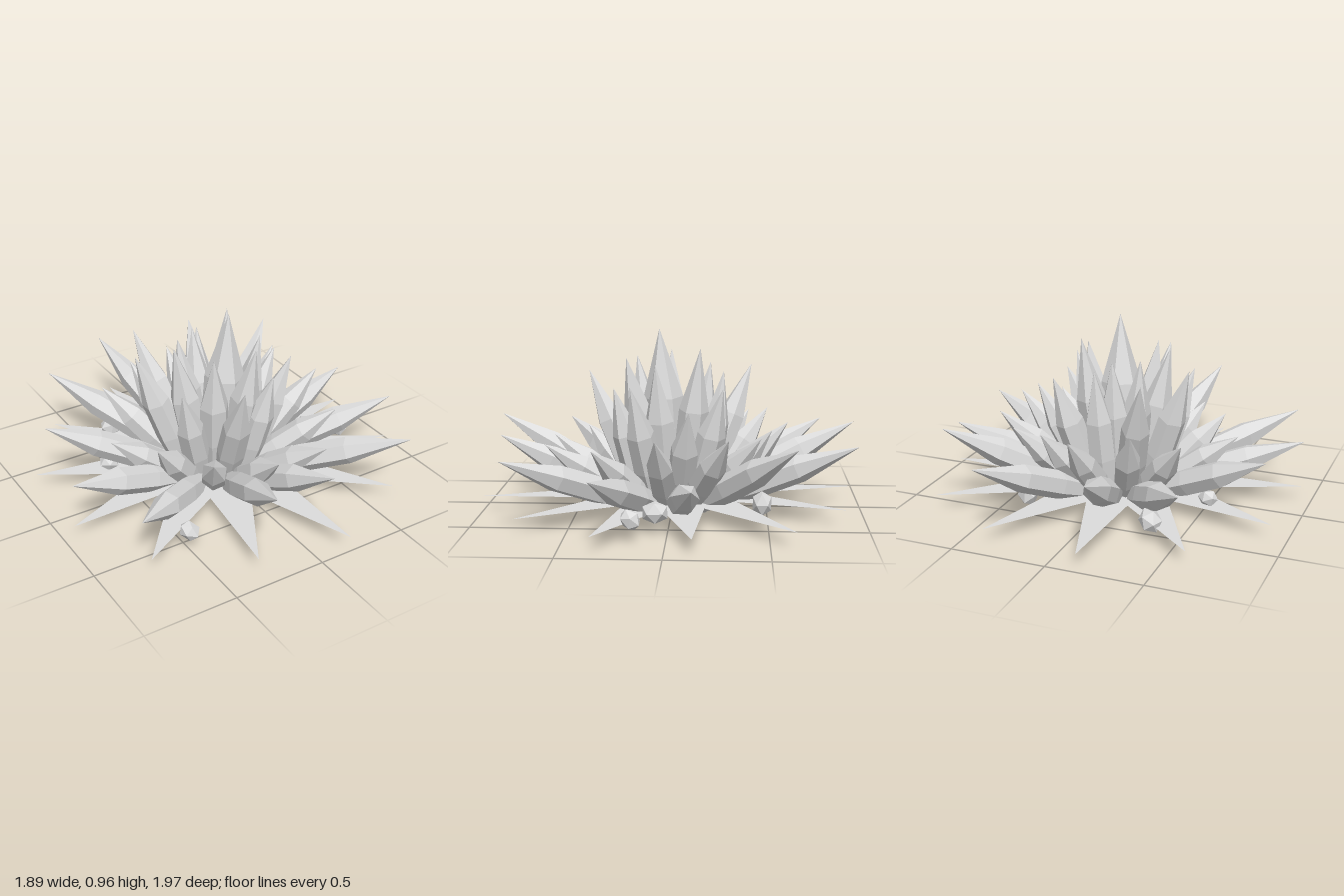
import * as THREE from 'three';

export function createModel() {
  const model = new THREE.Group();
  const paleGrey = new THREE.MeshStandardMaterial({
    color: 0xdcdcdc, flatShading: true, side: THREE.DoubleSide });
  paleGrey.name = 'pale grey';

  // Flat twelve-pointed sheet, a little above the crystal feet: [degrees, radius] of each point
  const points = [
    [20.5, 0.99], [50, 0.99], [80, 1.01], [109, 0.95], [140, 0.98], [168.7, 0.97],
    [200, 0.98], [231, 0.98], [261.3, 0.99], [293, 0.98], [322, 1.02], [352, 0.95]];
  const star = new THREE.Shape();
  points.forEach(([deg, r], i) => {
    const a = deg * Math.PI / 180, b = (35 + i * 30) * Math.PI / 180;
    star[i ? 'lineTo' : 'moveTo'](r * Math.cos(a), r * Math.sin(a));
    star.lineTo(0.42 * Math.cos(b), 0.42 * Math.sin(b));
  });
  star.closePath();
  const sheetGeo = new THREE.ShapeGeometry(star).rotateX(-Math.PI / 2).scale(1, 1, -1);
  // restore the upward winding after mirroring
  const index = sheetGeo.index.array;
  for (let i = 0; i < index.length; i += 3) [index[i], index[i + 1]] = [index[i + 1], index[i]];
  const sheet = new THREE.Mesh(sheetGeo, paleGrey);
  sheet.name = 'starSheet';
  sheet.position.y = 0.08;
  model.add(sheet);

  // One six-sided crystal: narrower foot, long body, pointed tip
  const up = new THREE.Vector3(0, 1, 0);
  function crystal(name, tip, footCircle, radius, turn) {
    const end = new THREE.Vector3(...tip);
    const flat = Math.hypot(end.x, end.z);
    const start = new THREE.Vector3(end.x / flat * footCircle, 0, end.z / flat * footCircle);
    const foot = radius * 0.66;
    const dir = end.clone().sub(start).normalize();
    start.y = foot * Math.hypot(dir.x, dir.z);
    const length = end.distanceTo(start);
    dir.copy(end).sub(start).normalize();
    const profile = [[0, 0], [foot, 0], [radius * 0.95, length * 0.33],
      [radius * 0.92, length * 0.62], [0, length]];
    const geo = new THREE.LatheGeometry(profile.map(p => new THREE.Vector2(...p)), 6);
    geo.rotateY(turn);
    const mesh = new THREE.Mesh(geo, paleGrey);
    mesh.name = name;
    mesh.quaternion.setFromUnitVectors(up, dir);
    mesh.position.copy(start);
    model.add(mesh);
  }

  // Rings of crystals: foot circle, body radius and tip positions
  const rings = [
    { name: 'outerCrystal', at: 0.21, radius: 0.078, tips: [
      [-0.95, 0.33, 0.2], [-0.87, 0.38, -0.29], [-0.6, 0.38, -0.83], [-0.2, 0.43, -0.98],
      [0.4, 0.41, -0.95], [0.74, 0.46, -0.63], [0.94, 0.3, -0.13], [0.93, 0.34, 0.35],
      [0.69, 0.38, 0.81], [0.12, 0.4, 0.91], [-0.26, 0.45, 0.97], [-0.81, 0.34, 0.66]] },
    { name: 'middleCrystal', at: 0.2, radius: 0.075, tips: [
      [-0.64, 0.38, 0.02], [-0.47, 0.45, -0.41], [-0.24, 0.5, -0.51], [0.05, 0.47, -0.61],
      [0.24, 0.46, -0.52], [0.42, 0.45, -0.46], [0.58, 0.47, -0.3], [0.63, 0.47, 0.06],
      [0.53, 0.4, 0.38], [0.27, 0.38, 0.65], [-0.02, 0.38, 0.64], [-0.31, 0.38, 0.49],
      [-0.5, 0.41, 0.26]] },
    { name: 'tallCrystal', at: 0.16, radius: 0.08, tips: [
      [-0.41, 0.75, -0.12], [-0.26, 0.74, -0.42], [0.05, 0.74, -0.27], [0.28, 0.68, -0.27],
      [0.45, 0.58, -0.1], [0.35, 0.69, 0.2], [0.17, 0.66, 0.3], [-0.11, 0.72, 0.46],
      [-0.33, 0.66, 0.22]] },
    { name: 'innerCrystal', at: 0.09, radius: 0.085, tips: [
      [0.17, 0.87, -0.15], [-0.26, 0.82, 0.02], [-0.13, 0.8, 0.2], [0.1, 0.81, 0.24],
      [0.23, 0.79, 0.08], [-0.02, 0.78, -0.2], [-0.15, 0.78, -0.13]] },
    { name: 'centreCrystal', at: 0.02, radius: 0.115, tips: [[0.04, 0.96, 0.07]] },
  ];
  for (const ring of rings) {
    ring.tips.forEach((tip, i) => crystal(ring.name, tip, ring.at, ring.radius, i * 0.7));
  }

  // Small loose gems around the cluster: x, y, z, radius
  const gems = [
    [0.34, 0.1, -0.47, 0.06], [0.72, 0.11, 0.17, 0.053], [0.58, 0.11, 0.06, 0.064],
    [-0.49, 0.1, 0.55, 0.053], [-0.55, 0.11, -0.2, 0.05], [-0.36, 0.1, -0.54, 0.064],
  ];
  gems.forEach(([x, y, z, r], i) => {
    const gem = new THREE.Mesh(new THREE.IcosahedronGeometry(r, 0), paleGrey);
    gem.name = 'looseGem';
    gem.position.set(x, y, z);
    gem.scale.set(0.92, 1.12, 0.92);
    gem.rotation.set(i * 0.5, i * 0.8, i * 0.3);
    model.add(gem);
  });

  return model;
}
